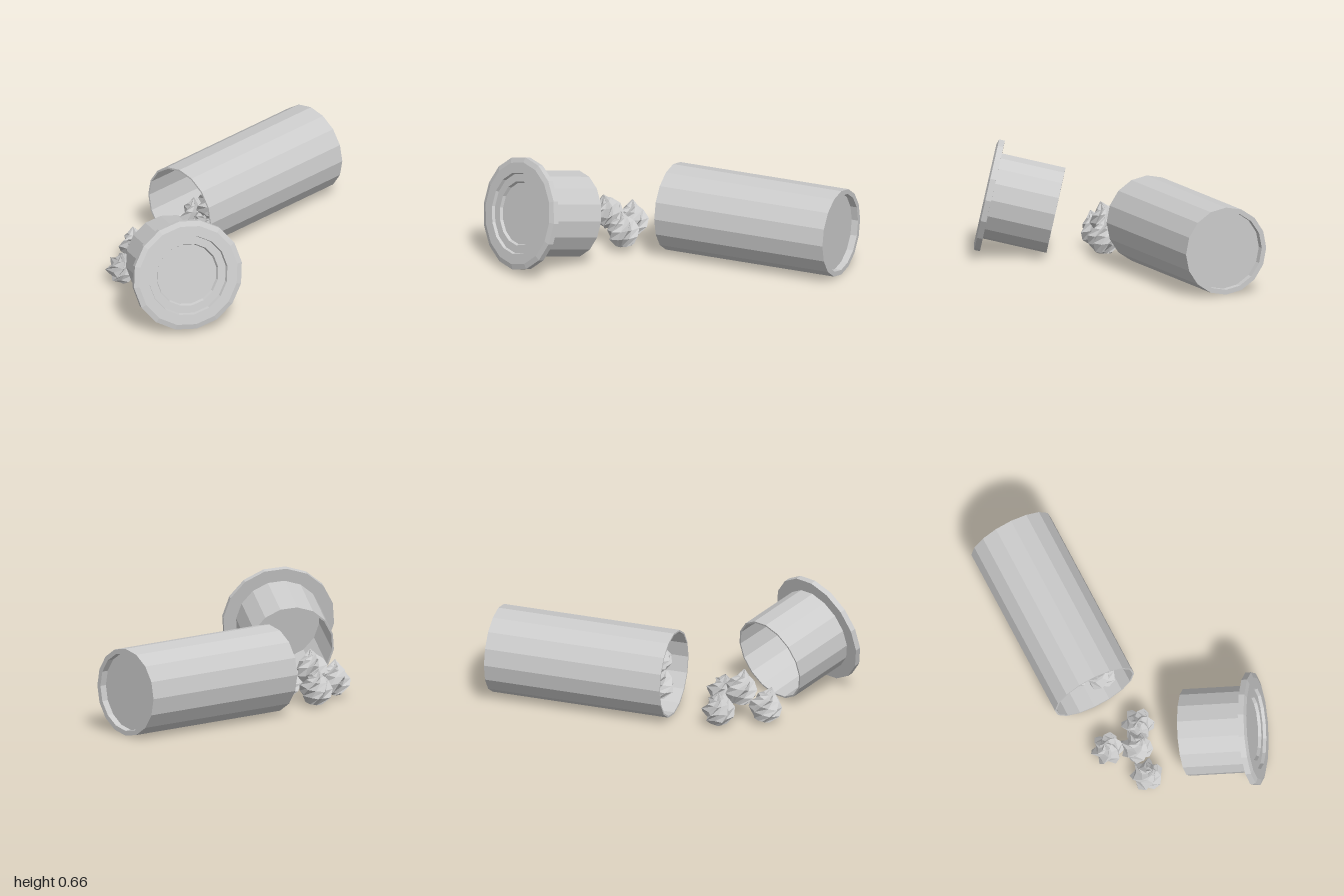
import * as THREE from 'three';

const material = new THREE.MeshStandardMaterial({
  color: 0xcccccc, flatShading: true, side: THREE.DoubleSide,
});

// Sixteen-sided turned part from [radius, height] pairs
function turned(name, profile) {
  const points = profile.map(([r, y]) => new THREE.Vector2(r, y));
  const mesh = new THREE.Mesh(new THREE.LatheGeometry(points, 16), material);
  mesh.name = name;
  return mesh;
}

// Twisted, ribbed dollop with pointed lobes
function dollopGeometry() {
  const lobes = 6, n = lobes * 2;
  // radius, height, twist
  const rings = [
    [0.002, -0.085, 0], [0.055, -0.082, 0.1], [0.094, -0.035, 0.4],
    [0.096, 0.01, 0.75], [0.068, 0.052, 1.15], [0.036, 0.078, 1.5], [0.002, 0.115, 1.8],
  ];
  const positions = [], index = [];
  rings.forEach(([r, y, twist], j) => {
    for (let i = 0; i < n; i++) {
      const a = (i / n) * Math.PI * 2 + twist;
      const s = i % 2 ? r * 0.68 : r;
      positions.push(Math.sin(a) * s, y + (i % 2 ? 0 : 0.008), Math.cos(a) * s);
      if (j === 0) continue;
      const k = (i + 1) % n, lo = (j - 1) * n, hi = j * n;
      index.push(lo + i, lo + k, hi + k, lo + i, hi + k, hi + i);
    }
  });
  const geometry = new THREE.BufferGeometry();
  geometry.setAttribute('position', new THREE.Float32BufferAttribute(positions, 3));
  geometry.setIndex(index);
  geometry.computeVertexNormals();
  return geometry;
}

export function createModel() {
  const model = new THREE.Group();

  // Tube lying along x, open towards -x, with a recessed end
  const tube = turned('tube', [
    [0, 0.99], [0.238, 0.99], [0.243, 0], [0.253, 0],
    [0.253, 1.06], [0.225, 1.06], [0.225, 1.02], [0, 1.02],
  ]);
  tube.rotation.z = -Math.PI / 2;
  tube.position.set(-0.06, 0.255, -0.315);
  model.add(tube);

  // Hollow stopper with a wide stepped flange, resting on its edge
  const lid = turned('lid', [
    [0, 0.36], [0.235, 0.36], [0.24, 0], [0.25, 0], [0.25, 0.372], [0.325, 0.372],
    [0.325, 0.405], [0.295, 0.415], [0.235, 0.415], [0.23, 0.397],
    [0.185, 0.397], [0.178, 0.38], [0, 0.38],
  ]);
  const axis = new THREE.Vector3(-0.457, 0.216, 0.863).normalize();
  lid.quaternion.setFromUnitVectors(new THREE.Vector3(0, 1, 0), axis);
  lid.position.set(-0.515, 0.255, 0.042);
  model.add(lid);

  // Sweets: spilled pile, then those still inside the tube
  // x, y, z, tilt about x, turn about y, tilt about z
  const sweets = new THREE.Group();
  sweets.name = 'sweets';
  const geometry = dollopGeometry();
  [
    [-0.59, 0.1, -0.25, 0.15, 0.3, 0.25],
    [-0.35, 0.1, -0.38, -0.25, 1.2, 0.1],
    [-0.30, 0.11, -0.16, 0.2, 2.1, -0.35],
    [-0.44, 0.18, -0.24, 0.2, 0.8, 0.1],
    [0.07, 0.13, -0.22, 0.2, 0.5, 0.2],
    [0.09, 0.27, -0.2, -0.3, 1.6, 0.3],
    [0.13, 0.12, -0.37, 0.1, 2.4, -0.2],
    [0.24, 0.14, -0.27, 0.3, 0.9, -0.3],
  ].forEach(([x, y, z, rx, ry, rz]) => {
    const sweet = new THREE.Mesh(geometry, material);
    sweet.name = 'sweet';
    sweet.position.set(x, y, z);
    sweet.rotation.set(rx, ry, rz);
    sweets.add(sweet);
  });
  model.add(sweets);

  return model;
}
